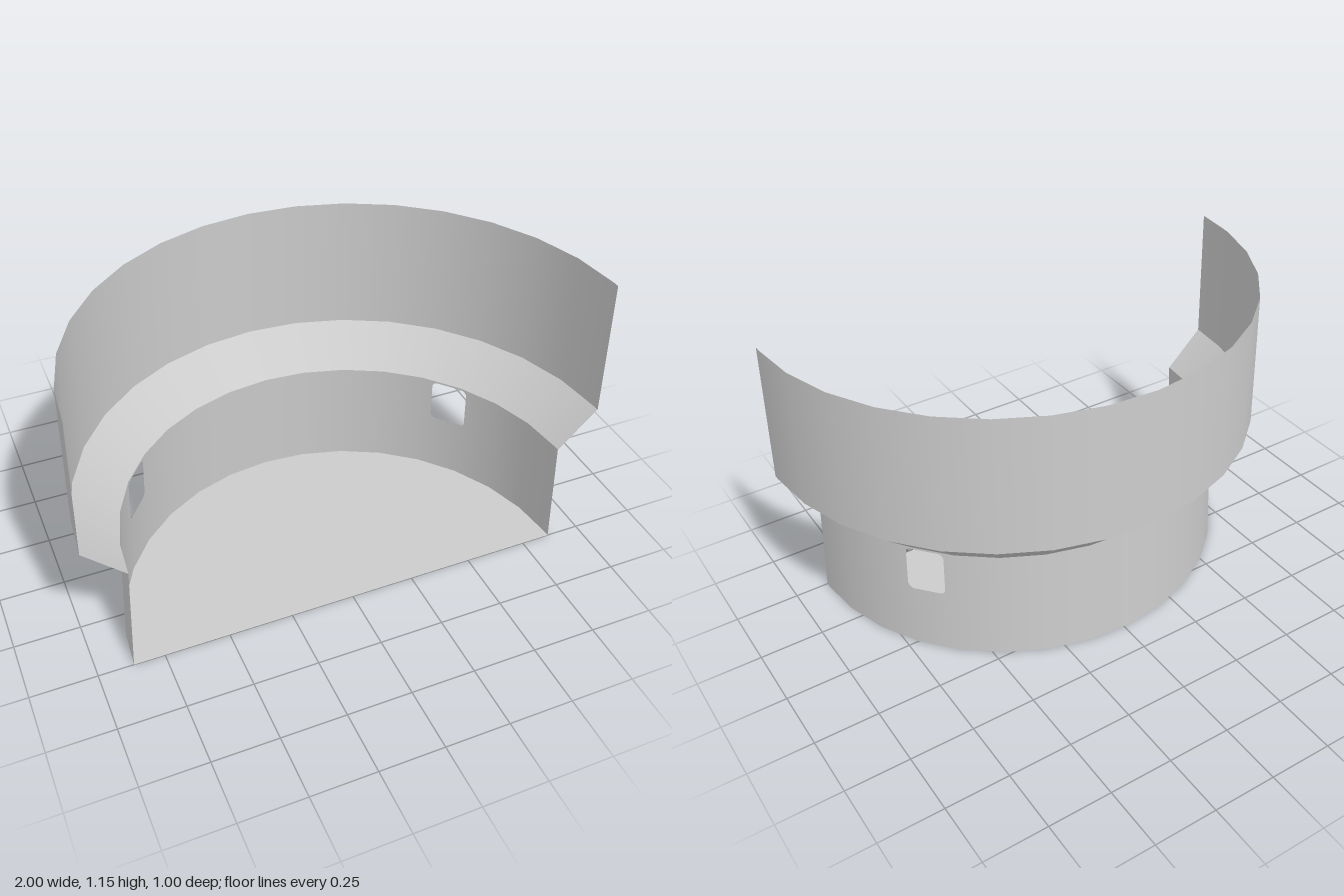
import * as THREE from 'three';

const material = new THREE.MeshStandardMaterial({ color: 0xcccccc, side: THREE.DoubleSide });
const STEP = 11.25, OFFSET = 1.3, CENTER_Z = 0.5;

// Facet corners of the half ring, in degrees from +x round the back to -x
const corners = [0];
for (let i = 0; i < 16; i++) corners.push(OFFSET + i * STEP);
corners.push(180);

// Rounded windows: angular range in degrees, height range, corner radius
const windows = [
  { a0: 33.2, a1: 43.3, y0: 0.262, y1: 0.447, r: 0.022 },
  { a0: 137.7, a1: 147.6, y0: 0.262, y1: 0.447, r: 0.022 },
];
const DEG_TO_ARC = 0.853 * Math.PI / 180;

// Point on the faceted ring of unit radius at an angle
function ringPoint(angle) {
  let i = 0;
  while (i < corners.length - 2 && angle > corners[i + 1]) i++;
  const a = THREE.MathUtils.degToRad(corners[i]), b = THREE.MathUtils.degToRad(corners[i + 1]);
  const t = (angle - corners[i]) / (corners[i + 1] - corners[i]);
  return [
    THREE.MathUtils.lerp(Math.cos(a), Math.cos(b), t),
    -THREE.MathUtils.lerp(Math.sin(a), Math.sin(b), t),
  ];
}

// How far the rounded window corner cuts in at an angle
function cornerInset(w, angle) {
  const d = Math.max(0, Math.min(angle - w.a0, w.a1 - angle)) * DEG_TO_ARC;
  if (d >= w.r) return 0;
  return w.r - Math.sqrt(w.r * w.r - (w.r - d) ** 2);
}

// Conical half band, smooth round its arc, with optional windows
function band(name, r0, y0, r1, y1, holes = []) {
  const angles = [...corners];
  for (const w of holes) {
    const rd = w.r / DEG_TO_ARC;
    for (let k = 0; k <= 6; k++) {
      const d = rd * (1 - Math.cos((k / 6) * Math.PI / 2));
      angles.push(w.a0 + d, w.a1 - d);
    }
  }
  angles.sort((a, b) => a - b);

  const position = [], normal = [], index = [];
  const slope = (r0 - r1) / (y1 - y0);
  function vertex(angle, y) {
    const [x, z] = ringPoint(angle);
    const r = r0 - slope * (y - y0);
    position.push(x * r, y, CENTER_Z + z * r);
    const a = THREE.MathUtils.degToRad(angle);
    normal.push(...new THREE.Vector3(Math.cos(a), slope, -Math.sin(a)).normalize().toArray());
  }
  function quad(a, b, lowA, highA, lowB, highB) {
    const n = position.length / 3;
    vertex(a, lowA); vertex(b, lowB); vertex(b, highB); vertex(a, highA);
    index.push(n, n + 1, n + 2, n, n + 2, n + 3);
  }
  for (let i = 0; i < angles.length - 1; i++) {
    const a = angles[i], b = angles[i + 1];
    if (b - a < 1e-6) continue;
    const mid = (a + b) / 2;
    const w = holes.find(h => mid > h.a0 && mid < h.a1);
    if (!w) {
      quad(a, b, y0, y1, y0, y1);
    } else {
      const ia = cornerInset(w, a), ib = cornerInset(w, b);
      quad(a, b, y0, w.y0 + ia, y0, w.y0 + ib);
      quad(a, b, w.y1 - ia, y1, w.y1 - ib, y1);
    }
  }
  const geometry = new THREE.BufferGeometry();
  geometry.setAttribute('position', new THREE.Float32BufferAttribute(position, 3));
  geometry.setAttribute('normal', new THREE.Float32BufferAttribute(normal, 3));
  geometry.setIndex(index);
  const mesh = new THREE.Mesh(geometry, material);
  mesh.name = name;
  return mesh;
}

export function createModel() {
  const group = new THREE.Group();
  group.name = 'halfRoundShell';

  // Walls from bottom to top
  group.add(band('lowerWall', 0.867, 0, 0.847, 0.455, windows));
  group.add(band('flaredLedge', 0.847, 0.455, 1, 0.602));
  group.add(band('upperWall', 1, 0.602, 0.988, 1.153));

  // Half-disc floor
  const outline = corners.map(a => {
    const [x, z] = ringPoint(a);
    return new THREE.Vector2(x * 0.867, -z * 0.867);
  });
  const floor = new THREE.Mesh(new THREE.ShapeGeometry(new THREE.Shape(outline)), material);
  floor.name = 'floor';
  floor.rotation.x = -Math.PI / 2;
  floor.position.z = CENTER_Z;
  group.add(floor);

  return group;
}
